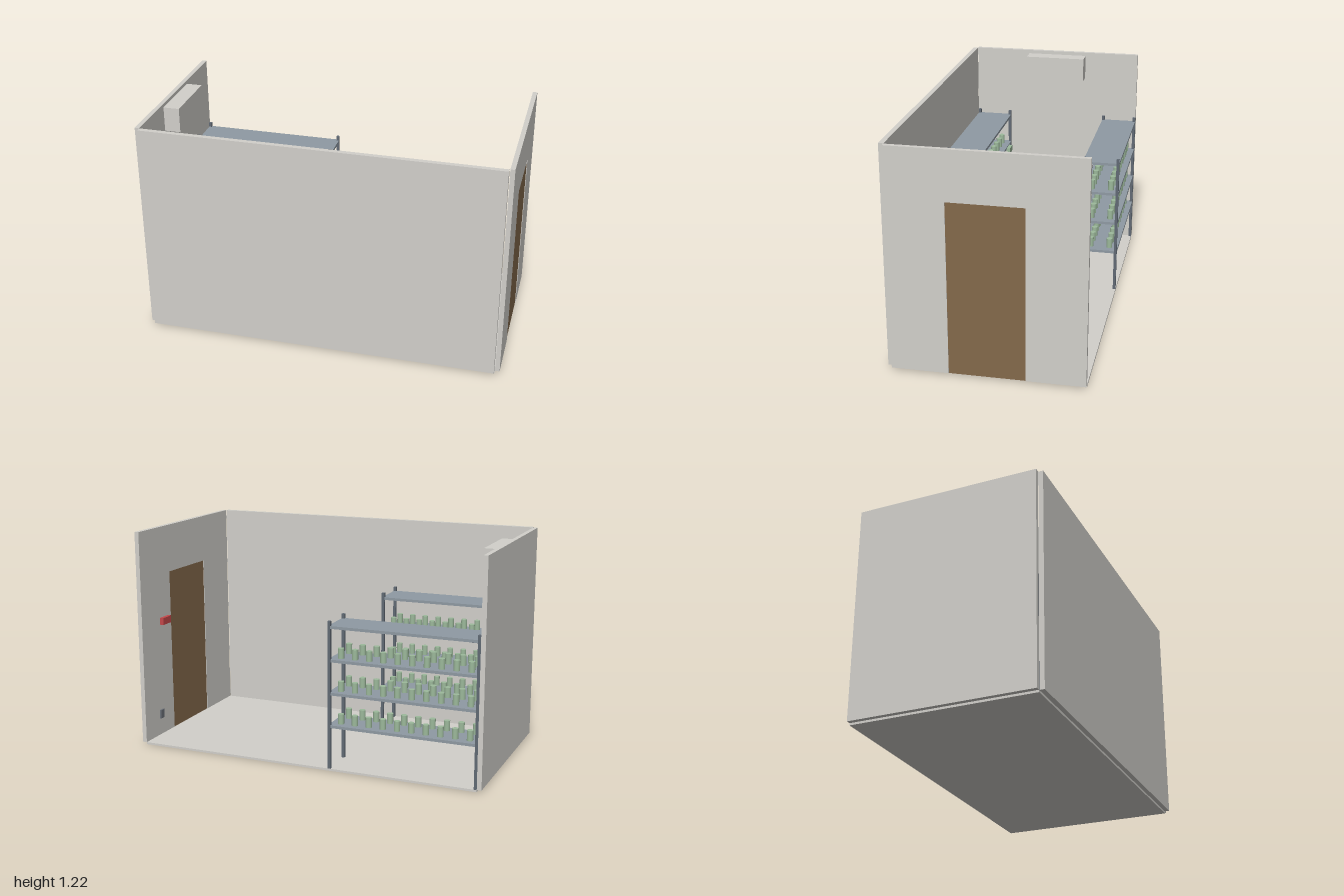
import * as THREE from 'three';

const mat = (name, color) => {
  const m = new THREE.MeshStandardMaterial({ color });
  m.name = name;
  return m;
};

export function createModel() {
  const plaster = mat('plaster', 0xd2d0cb);
  const wood = mat('door brown', 0x84694b);
  const steel = mat('shelf steel', 0x8f9aa3);
  const darkSteel = mat('post steel', 0x616a74);
  const sage = mat('sage green', 0x9dba9c);
  const red = mat('signal red', 0xc4484a);
  const grey = mat('device grey', 0x6b7078);

  const model = new THREE.Group();
  model.name = 'storageRoom';

  // Box given by its min and max corners
  const box = (parent, name, material, x0, x1, y0, y1, z0, z1) => {
    const mesh = new THREE.Mesh(new THREE.BoxGeometry(x1 - x0, y1 - y0, z1 - z0), material);
    mesh.position.set((x0 + x1) / 2, (y0 + y1) / 2, (z0 + z1) / 2);
    mesh.name = name;
    parent.add(mesh);
    return mesh;
  };

  // Room shell, open at the back and top
  const back = -0.52, inner = 0.493, base = 0.012, top = 1.22;
  box(model, 'floor', plaster, -0.975, 0.975, 0, base, back, inner);
  box(model, 'frontWall', plaster, -0.972, 0.972, base, top, inner, 0.52);
  box(model, 'rightWall', plaster, -1, -0.975, base, top, back, inner);

  // Left wall with a door opening, extruded along x
  const outline = new THREE.Shape();
  [[-inner, base], [-inner, top], [-back, top], [-back, base], [0.21, base], [0.21, 0.95], [-0.19, 0.95], [-0.19, base]]
    .forEach(([u, v], i) => (i ? outline.lineTo(u, v) : outline.moveTo(u, v)));
  const wallGeometry = new THREE.ExtrudeGeometry(outline, { depth: 0.025, bevelEnabled: false });
  wallGeometry.rotateY(Math.PI / 2);
  const leftWall = new THREE.Mesh(wallGeometry, plaster);
  leftWall.position.x = 0.975;
  leftWall.name = 'leftWall';
  model.add(leftWall);
  box(model, 'door', wood, 0.978, 0.997, base, 0.95, -0.21, 0.19);

  // Shelving rack: posts, four boards, jars and heating strips
  const jarGeometry = new THREE.CylinderGeometry(0.017, 0.017, 0.055, 12);
  const x0 = -0.975, x1 = -0.15;
  const addRack = (name, z0, z1) => {
    const rack = new THREE.Group();
    rack.name = name;
    for (const x of [x0, x1 - 0.016])
      for (const z of [z0, z1 - 0.016]) {
        box(rack, 'post', darkSteel, x, x + 0.016, base, 0.82, z, z + 0.016);
      }
    const mid = (z0 + z1) / 2;
    for (let level = 0; level < 4; level++) {
      const y = 0.255 + level * 0.18;
      box(rack, 'board', steel, x0 + 0.001, x1 - 0.001, y - 0.015, y, z0 + 0.001, z1 - 0.001);
      if (level > 0) {
        for (const cx of [-0.77, -0.355])
          box(rack, 'heatStrip', red, cx - 0.078, cx + 0.078, y - 0.03, y - 0.015, mid - 0.015, mid + 0.015);
      }
      if (level < 3) {
        for (let i = 0; i < 10; i++)
          for (const side of [-1, 1]) {
            const jar = new THREE.Mesh(jarGeometry, sage);
            jar.position.set(-0.207 - i * 0.079, y + 0.0275, mid + side * 0.055);
            jar.name = 'jar';
            rack.add(jar);
          }
      }
    }
    model.add(rack);
    return rack;
  };
  const backRack = addRack('backRack', -0.52, -0.31);
  const frontRack = addRack('frontRack', 0.278, 0.491);

  // Small devices clipped on the rack edges
  box(backRack, 'sensor', grey, -0.58, -0.545, 0.585, 0.625, -0.31, -0.292);
  box(frontRack, 'controller', sage, -0.9, -0.822, 0.575, 0.61, 0.258, 0.278);
  box(frontRack, 'sensor', grey, -0.747, -0.705, 0.58, 0.615, 0.258, 0.278);

  // Air conditioner high on the right wall
  box(model, 'airConditioner', plaster, -0.975, -0.885, 1.06, 1.2, -0.195, 0.16);

  // Alarm and wall socket beside the door
  const alarm = new THREE.Group();
  alarm.name = 'alarm';
  box(alarm, 'alarmBody', red, 0.952, 0.975, 0.66, 0.7, -0.33, -0.25);
  box(alarm, 'alarmButton', red, 0.965, 0.975, 0.685, 0.697, -0.236, -0.226);
  model.add(alarm);
  box(model, 'socket', grey, 0.965, 0.975, 0.11, 0.16, -0.37, -0.335);

  return model;
}
